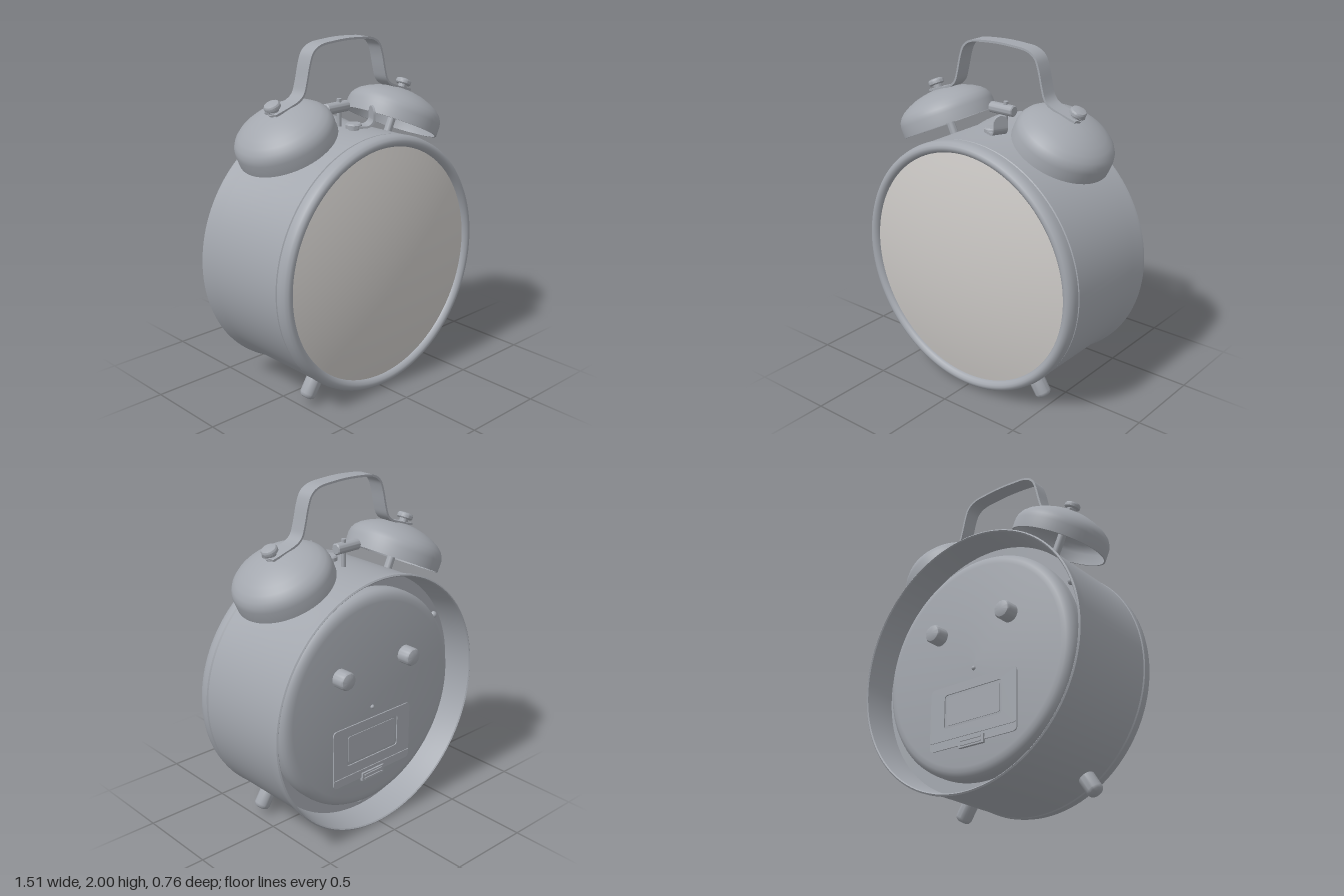
import * as THREE from 'three';
import { toCreasedNormals } from 'three/addons/utils/BufferGeometryUtils.js';

export function createModel() {
  const model = new THREE.Group();
  model.name = 'alarmClock';
  const metal = new THREE.MeshStandardMaterial({ color: 0xa3a7ae, side: THREE.DoubleSide });
  metal.name = 'grey metal';
  const glass = new THREE.MeshStandardMaterial({ color: 0xcbc8c5 });
  glass.name = 'pale glass';

  const CY = 0.757; // height of the case axis
  const BELL_Z = -0.037;

  const add = (parent, name, geo, mat = metal, x = 0, y = 0, z = 0) => {
    const m = new THREE.Mesh(geo, mat);
    m.name = name;
    m.position.set(x, y, z);
    parent.add(m);
    return m;
  };
  const v2 = (pts) => pts.map(([x, y]) => new THREE.Vector2(x, y));
  const lathe = (pts, seg = 32) =>
    toCreasedNormals(new THREE.LatheGeometry(v2(pts), seg), 0.6);
  const pin = (r, from, to, seg = 24) =>
    lathe([[0, from], [r, from], [r, to], [0, to]], seg);
  const roundRect = (S, x0, y0, x1, y1, r) => {
    const s = new S();
    s.moveTo(x0 + r, y0);
    s.lineTo(x1 - r, y0); s.quadraticCurveTo(x1, y0, x1, y0 + r);
    s.lineTo(x1, y1 - r); s.quadraticCurveTo(x1, y1, x1 - r, y1);
    s.lineTo(x0 + r, y1); s.quadraticCurveTo(x0, y1, x0, y1 - r);
    s.lineTo(x0, y0 + r); s.quadraticCurveTo(x0, y0, x0 + r, y0);
    return s;
  };
  const plate = (shape, depth) =>
    new THREE.ExtrudeGeometry(shape, { depth, bevelEnabled: false, curveSegments: 6 });

  // Case: everything turned about the z axis
  const body = new THREE.Group();
  body.name = 'body';
  body.position.y = CY;
  model.add(body);
  const turned = (name, pts, seg, mat) => {
    const m = add(body, name, lathe(pts, seg), mat);
    m.rotation.x = Math.PI / 2;
    return m;
  };
  turned('case', [[0, -0.2], [0.722, -0.2], [0.728, -0.28], [0.742, -0.372], [0.748, -0.378],
    [0.756, -0.372], [0.755, -0.355], [0.74, -0.28], [0.74, 0.245], [0.733, 0.25], [0, 0.25]], 128);
  turned('bezel', [[0.7, 0.25], [0.735, 0.25], [0.742, 0.258], [0.743, 0.285], [0.738, 0.31],
    [0.724, 0.326], [0.71, 0.331], [0.697, 0.328], [0.685, 0.318], [0.679, 0.305], [0.677, 0.28]], 128);
  const dome = [[0.68, 0.285]];
  for (let i = 12; i >= 0; i--) {
    const r = 0.68 * i / 12;
    dome.push([r, 0.381 - r * r * 0.172]);
  }
  turned('glassDome', dome, 128, glass);
  turned('backPlate', [[0, -0.3], [0.585, -0.3], [0.612, -0.295], [0.634, -0.281],
    [0.645, -0.262], [0.648, -0.24], [0.648, -0.2]], 128);

  // Setting knobs on the back
  for (const s of [-1, 1]) {
    const knob = add(body, 'settingKnob', lathe([[0, -0.084], [0.03, -0.083], [0.046, -0.077],
      [0.053, -0.066], [0.053, 0]], 32), metal, s * 0.25, 0.22, -0.299);
    knob.rotation.x = Math.PI / 2;
  }
  // Case screws in the channel round the back plate
  for (let i = 0; i < 3; i++) {
    const a = Math.PI / 6 + i * Math.PI * 2 / 3;
    add(body, 'caseScrew', new THREE.SphereGeometry(0.022, 16, 10), metal,
      Math.cos(a) * 0.685, Math.sin(a) * 0.685, -0.202);
  }
  // Battery door with a framed window, clip and small button
  const door = new THREE.Group();
  door.name = 'batteryDoor';
  door.position.z = -0.3;
  body.add(door);
  const doorShape = roundRect(THREE.Shape, -0.3, -0.46, 0.3, -0.1, 0.03);
  doorShape.holes.push(roundRect(THREE.Path, -0.2, -0.345, 0.2, -0.15, 0.02));
  add(door, 'doorPanel', plate(doorShape, 0.008), metal, 0, 0, -0.007);
  add(door, 'doorInset', plate(roundRect(THREE.Shape, -0.185, -0.33, 0.185, -0.165, 0.015), 0.005),
    metal, 0, 0, -0.004);
  add(door, 'doorRidge', new THREE.BoxGeometry(0.59, 0.008, 0.01), metal, 0, -0.41, -0.007);
  add(door, 'doorClip', new THREE.BoxGeometry(0.17, 0.05, 0.02), metal, 0, -0.455, -0.008);
  for (const y of [-0.467, -0.443])
    add(door, 'clipRib', new THREE.BoxGeometry(0.14, 0.008, 0.012), metal, 0, y, -0.018);
  add(door, 'resetButton', new THREE.SphereGeometry(0.013, 16, 10), metal, 0, -0.035, 0);

  // Bells, studs and feet, mirrored left and right
  for (const s of [-1, 1]) {
    const bell = new THREE.Group();
    bell.name = s > 0 ? 'leftBell' : 'rightBell';
    bell.position.set(s * 0.395, 1.46, BELL_Z);
    bell.rotation.z = -s * 0.44;
    model.add(bell);
    add(bell, 'bellShell', lathe([[0.274, 0], [0.283, 0], [0.283, 0.065], [0.277, 0.092],
      [0.262, 0.117], [0.235, 0.142], [0.195, 0.165], [0.145, 0.186], [0.09, 0.2], [0.04, 0.207],
      [0, 0.209], [0, 0.2], [0.09, 0.191], [0.14, 0.177], [0.19, 0.156], [0.229, 0.133],
      [0.254, 0.11], [0.268, 0.088], [0.274, 0.065], [0.274, 0]], 64));
    add(bell, 'bellPost', pin(0.024, -0.09, 0.21));
    add(bell, 'bellWasher', pin(0.036, 0.2, 0.216));
    add(bell, 'studNeck', pin(0.026, 0.21, 0.245));
    add(bell, 'studKnob', lathe([[0, 0.236], [0.04, 0.236], [0.046, 0.242], [0.046, 0.258],
      [0.04, 0.267], [0.025, 0.271], [0, 0.272]]));

    const foot = add(model, 'foot', lathe([[0, -0.855], [0.025, -0.853], [0.039, -0.845],
      [0.047, -0.83], [0.047, -0.7]]), metal, 0, CY, 0.16);
    foot.rotation.z = s * 0.576;
  }

  // Handle: a flat strip bent between the two bells
  const half = [[0.515, 1.645], [0.45, 1.664], [0.36, 1.695], [0.318, 1.73], [0.297, 1.79],
    [0.272, 1.89], [0.245, 1.948], [0.19, 1.98], [0.1, 1.99]];
  const path = [...half, [0, 1.994], ...half.map(([x, y]) => [-x, y]).reverse()];
  const curve = new THREE.SplineCurve(v2(path));
  const outer = [], inner = [];
  for (let i = 0; i <= 90; i++) {
    const p = curve.getPoint(i / 90), t = curve.getTangent(i / 90);
    const n = new THREE.Vector2(t.y, -t.x).multiplyScalar(0.006);
    outer.push(p.clone().add(n));
    inner.push(p.clone().sub(n));
  }
  const strip = plate(new THREE.Shape([...outer, ...inner.reverse()]), 0.096);
  add(model, 'handle', toCreasedNormals(strip, 0.6), metal, 0, 0, BELL_Z - 0.048);

  // Hammer between the bells
  const hammer = new THREE.Group();
  hammer.name = 'hammer';
  hammer.position.z = -0.058;
  model.add(hammer);
  add(hammer, 'hammerPin', pin(0.014, 1.47, 1.655));
  const head = add(hammer, 'hammerHead', lathe([[0, -0.083], [0.026, -0.083], [0.032, -0.077],
    [0.032, 0.077], [0.026, 0.083], [0, 0.083]]), metal, -0.022, 1.607, 0);
  head.rotation.z = Math.PI / 2;

  // Alarm lever: a leaf that curls upward from a round screw
  const lever = new THREE.Group();
  lever.name = 'alarmLever';
  lever.position.set(0, 1.515, 0.06);
  lever.rotation.y = -0.46;
  model.add(lever);
  add(lever, 'leverScrew', lathe([[0, -0.05], [0.03, -0.05], [0.03, -0.008], [0.046, -0.008],
    [0.046, 0.012], [0.038, 0.02], [0, 0.022]]));
  const L = 0.2, flat = 0.062, R = 0.045, tip = 0.0425;
  const leaf = new THREE.BoxGeometry(L, 0.012, 0.085, 40, 1, 6);
  const pos = leaf.attributes.position;
  for (let i = 0; i < pos.count; i++) {
    const s = pos.getX(i) + L / 2, h = pos.getY(i);
    const e = Math.max(0, (s - (L - tip)) / tip);
    const w = pos.getZ(i) * Math.sqrt(Math.max(0.01, 1 - e * e));
    const a = Math.min(Math.max(0, (s - flat) / R), Math.PI / 2);
    const rise = Math.max(0, s - flat - R * Math.PI / 2);
    pos.setXYZ(i, Math.min(s, flat) + (R - h) * Math.sin(a), R - (R - h) * Math.cos(a) + rise, w);
  }
  add(lever, 'leverLeaf', toCreasedNormals(leaf, 0.7));

  return model;
}
